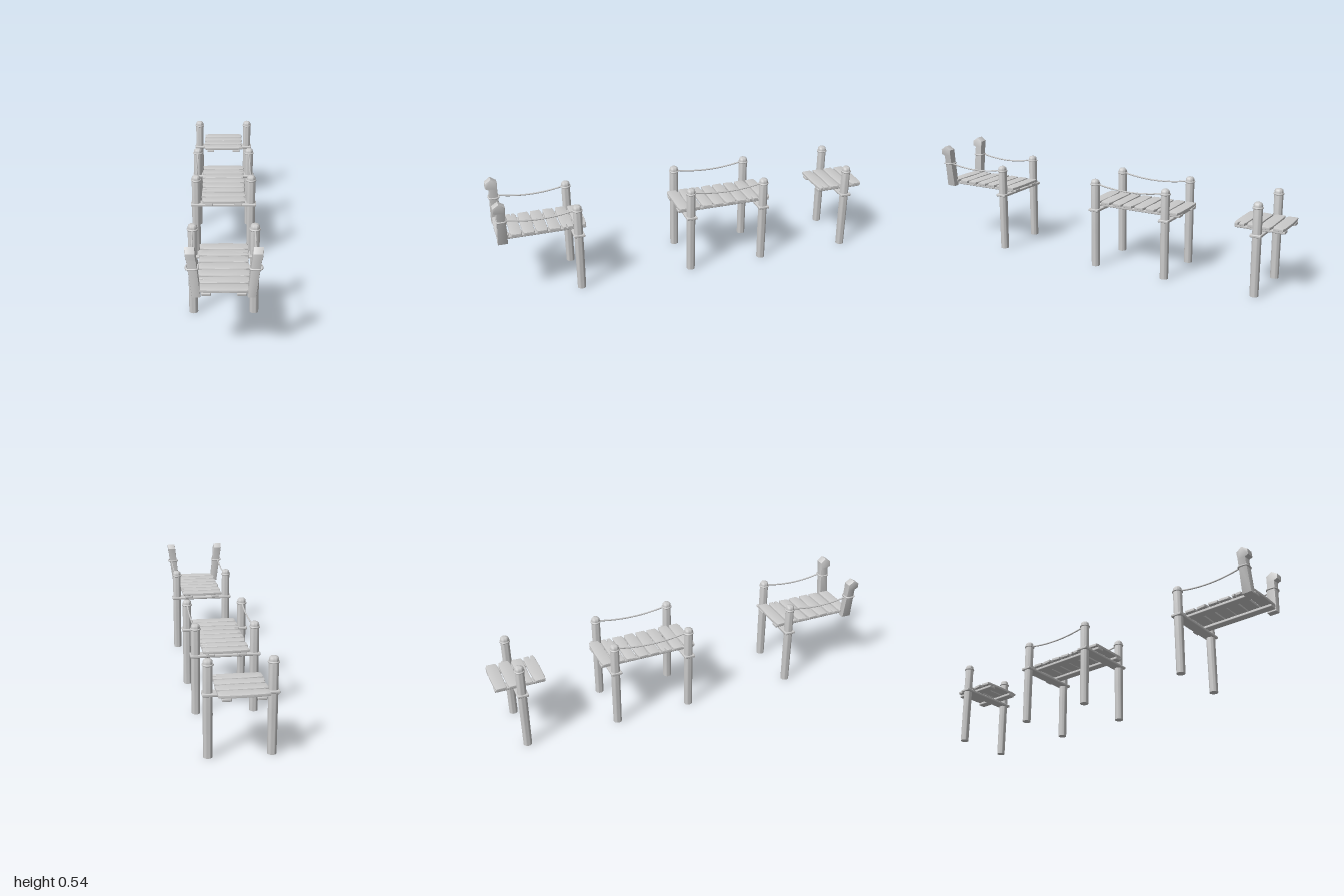
import * as THREE from 'three';
import { toCreasedNormals } from 'three/addons/utils/BufferGeometryUtils.js';
import { RoundedBoxGeometry } from 'three/addons/geometries/RoundedBoxGeometry.js';

const material = new THREE.MeshStandardMaterial({ color: 0xcccccc });
const POST_X = 0.145, ROPE_Y = 0.44, PITCH = 0.0645;

function add(parent, name, geometry, x = 0, y = 0, z = 0) {
  const mesh = new THREE.Mesh(geometry, material);
  mesh.name = name;
  mesh.position.set(x, y, z);
  parent.add(mesh);
  return mesh;
}

// Bevelled plank, slightly bowed, with an optional split in one end (-1, 0 or 1)
function plankGeometry(i, split) {
  const b = 0.004, w = 0.114 - b, d = 0.0295 - b;
  const j = 0.0025 * Math.sin(i * 2.3), k = 0.0025 * Math.cos(i * 1.7);
  const end = (s) => (split === s
    ? [[s * w, -s * 0.012], [s * (w - 0.028), -s * 0.004], [s * w, s * 0.002]] : []);
  const points = [
    [-w + k, -d + 0.004], [-w * 0.85, -d + 0.001], [0, -d - j], [w * 0.8, -d], [w + j, -d + 0.005],
    ...end(1),
    [w, d - 0.005], [w * 0.85, d], [0, d + k], [-w * 0.8, d - 0.001], [-w - j, d - 0.005],
    ...end(-1),
  ];
  const shape = new THREE.Shape(points.map(([x, y]) => new THREE.Vector2(x, y)));
  const g = new THREE.ExtrudeGeometry(shape, {
    depth: 0.007, bevelThickness: b, bevelSize: b, bevelSegments: 2,
  });
  g.rotateX(-Math.PI / 2);
  return toCreasedNormals(g, 0.7);
}

// Row of planks on two stringers
function addDeck(parent, zStart, count, splits) {
  const length = count * PITCH - 0.006;
  for (let i = 0; i < count; i++) {
    const plank = add(parent, 'plank', plankGeometry(i, splits[i] ?? 0), 0, 0.331, zStart + 0.0295 + i * PITCH);
    plank.rotation.y = 0.012 * Math.sin(i * 2.9);
  }
  for (const s of [-1, 1]) {
    add(parent, 'stringer', new RoundedBoxGeometry(0.042, 0.015, length, 2, 0.004),
      s * 0.077, 0.3195, zStart + length / 2);
  }
}

// Pair of round posts with rope bands and the crossbeam they pass through
function addPostPair(parent, z) {
  const profile = [[0, 0], [0.0215, 0], [0.0225, 0.2], [0.0225, 0.45], [0.0205, 0.459], [0.015, 0.465], [0, 0.467]];
  const postShape = toCreasedNormals(
    new THREE.LatheGeometry(profile.map(([r, y]) => new THREE.Vector2(r, y)), 20), 0.9);
  for (const s of [-1, 1]) {
    add(parent, 'post', postShape, s * POST_X, 0, z);
    const band = new THREE.TorusGeometry(0.0225, 0.0045, 8, 24).rotateX(Math.PI / 2);
    add(parent, 'postBand', band, s * POST_X, ROPE_Y, z);
  }
  add(parent, 'crossbeam', new RoundedBoxGeometry(0.344, 0.014, 0.056, 2, 0.004), 0, 0.305, z);
}

// Sagging hand ropes on both sides
function addRopes(parent, zA, zB, xA = POST_X, xB = POST_X) {
  for (const s of [-1, 1]) {
    const points = [];
    for (let i = 0; i <= 8; i++) {
      const t = i / 8;
      points.push(new THREE.Vector3(s * THREE.MathUtils.lerp(xA, xB, t),
        ROPE_Y - 0.018 * 4 * t * (1 - t), THREE.MathUtils.lerp(zA, zB, t)));
    }
    add(parent, 'handRope', new THREE.TubeGeometry(new THREE.CatmullRomCurve3(points), 24, 0.004, 6));
  }
}

// Leaning square entrance post with a forward-jutting peaked head
function addEntrancePost(parent, s) {
  const side = [[0.94, 0.309], [0.985, 0.309], [0.979, 0.485], [0.997, 0.493],
    [0.996, 0.518], [0.968, 0.537], [0.94, 0.518], [0.942, 0.485]];
  const b = 0.003;
  const shape = new THREE.Shape(side.map(([z, y]) => new THREE.Vector2(-z, y)).reverse());
  const g = new THREE.ExtrudeGeometry(shape, {
    depth: 0.036 - 2 * b, bevelThickness: b, bevelSize: b, bevelOffset: -b * 0.3, bevelSegments: 2,
  });
  g.translate(0, 0, -0.018 + b);
  g.rotateY(Math.PI / 2);
  // Profile now lies in the zy plane: widen the head and lean outwards
  const p = g.attributes.position;
  for (let i = 0; i < p.count; i++) {
    const t = (p.getY(i) - 0.309) / 0.23;
    p.setX(i, p.getX(i) * (1 + 0.22 * t) + s * (0.119 + 0.027 * t));
  }
  g.computeVertexNormals();
  add(parent, 'entrancePost', toCreasedNormals(g, 0.6));

  // Rope band with rounded-square path
  const points = [];
  for (let i = 0; i < 24; i++) {
    const a = (i / 24) * Math.PI * 2, c = Math.cos(a), d = Math.sin(a);
    const r = 1 / Math.pow(c ** 4 + d ** 4, 0.25);
    points.push(new THREE.Vector3(0.026 * r * c, 0, 0.025 * r * d));
  }
  add(parent, 'entranceBand',
    new THREE.TubeGeometry(new THREE.CatmullRomCurve3(points, true), 48, 0.0045, 8, true),
    s * 0.136, ROPE_Y, 0.961);
}

export function createModel() {
  const model = new THREE.Group();
  model.name = 'brokenPier';
  const section = (name) => {
    const group = new THREE.Group();
    group.name = name;
    model.add(group);
    return group;
  };

  const front = section('frontSection');
  addDeck(front, 0.54, 7, { 1: 1, 5: -1 });
  addPostPair(front, 0.59);
  for (const s of [-1, 1]) addEntrancePost(front, s);
  addRopes(front, 0.568 + 0.045, 0.937, POST_X, 0.145);

  const middle = section('middleSection');
  addDeck(middle, -0.457, 8, { 1: 1, 5: -1 });
  for (const z of [0, -0.4]) addPostPair(middle, z);
  addRopes(middle, -0.378, -0.022);

  const back = section('backSection');
  addDeck(back, -1, 4, { 3: 1 });
  addPostPair(back, -0.88);
  return model;
}
